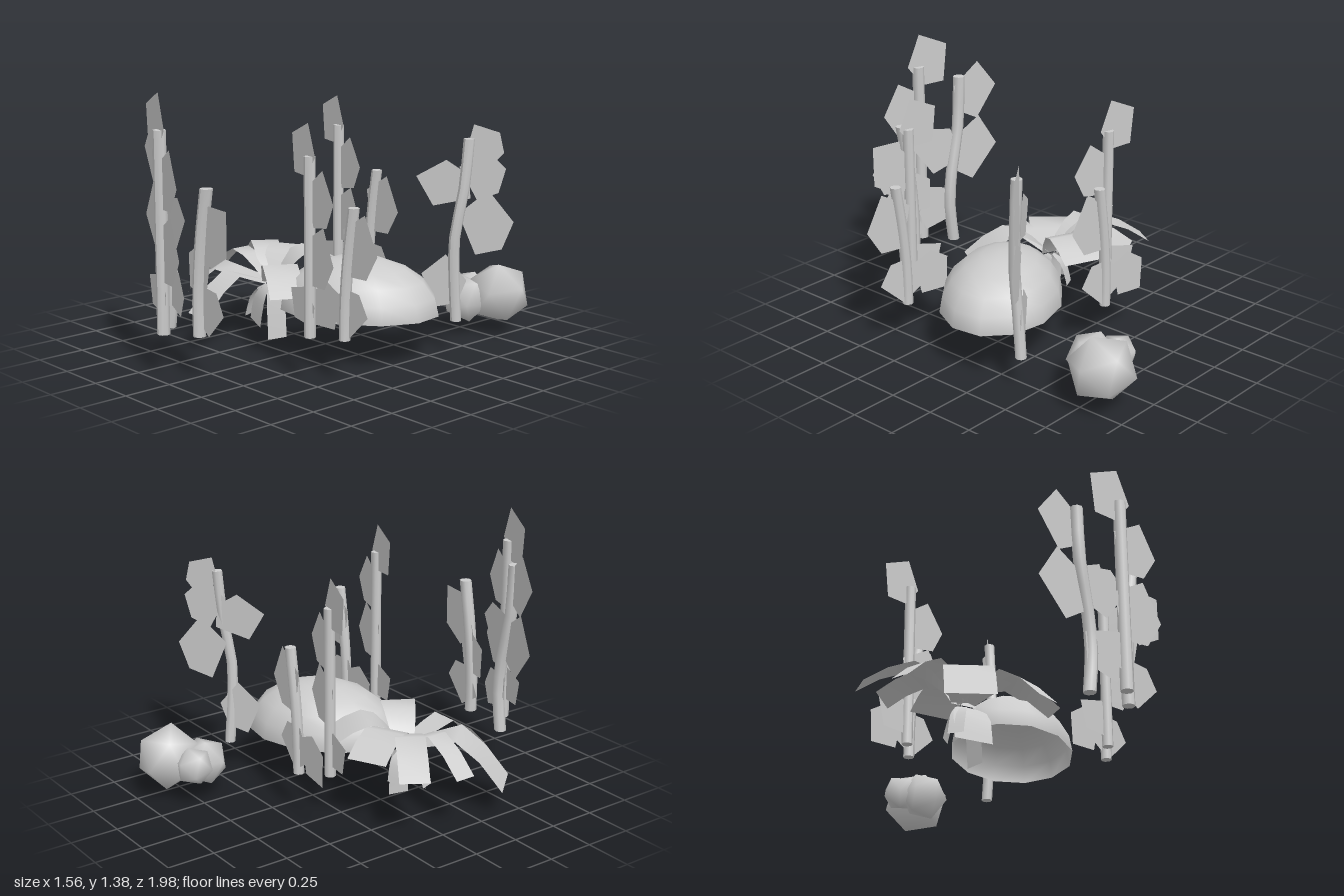
import * as THREE from 'three';
import { mergeVertices } from 'three/addons/utils/BufferGeometryUtils.js';

const mat = new THREE.MeshStandardMaterial({ color: 0xcccccc });
const thin = new THREE.MeshStandardMaterial({ color: 0xcccccc, side: THREE.DoubleSide });

function mesh(name, geometry, material = mat) {
  const m = new THREE.Mesh(geometry, material);
  m.name = name;
  return m;
}

// Irregular five-cornered leaf plate
const leafGeometry = new THREE.ShapeGeometry(new THREE.Shape([
  [-0.105, 0.08], [-0.085, -0.105], [0.03, -0.11], [0.11, -0.01], [0.045, 0.145],
].map(([x, y]) => new THREE.Vector2(x, y))));

// Stalk bent along [x, y, z] points, with leaves [dx, y, scale, turn] in a plane turned by yaw
function makeStalk({ name, x, z, path, r = 0.028, yaw, leaves }) {
  const group = new THREE.Group();
  group.name = name;
  const curve = new THREE.CatmullRomCurve3(path.map(([px, py, pz = 0]) => new THREE.Vector3(px, py, pz)));
  const geo = new THREE.CylinderGeometry(r, r, 1, 8, path.length > 2 ? 8 : 1);
  const pos = geo.attributes.position;
  for (let i = 0; i < pos.count; i++) {
    const p = curve.getPoint(THREE.MathUtils.clamp(pos.getY(i) + 0.5, 0, 1));
    pos.setXYZ(i, pos.getX(i) + p.x, p.y, pos.getZ(i) + p.z);
  }
  geo.computeVertexNormals();
  group.add(mesh('stem', geo));
  const foliage = new THREE.Group();
  foliage.name = 'foliage';
  foliage.rotation.y = yaw;
  for (const [dx, y, s, turn] of leaves) {
    const leaf = mesh('leaf', leafGeometry, thin);
    leaf.position.set(dx, y, 0);
    leaf.rotation.z = turn;
    leaf.scale.setScalar(s);
    foliage.add(leaf);
  }
  group.add(foliage);
  group.position.set(x, 0, z);
  return group;
}

// Broad arching blade: spine points are [distance, height]
function makeBlade(name, angle, width, spine, start) {
  const curve = new THREE.SplineCurve(spine.map(([d, y]) => new THREE.Vector2(d, y)));
  const geo = new THREE.PlaneGeometry(1, 1, 1, 5);
  const pos = geo.attributes.position;
  for (let i = 0; i < pos.count; i++) {
    const t = THREE.MathUtils.clamp(0.5 - pos.getY(i), 0, 1);
    const p = curve.getPoint(t);
    const w = width * (start + (1 - start) * Math.min(1, t * 2));
    pos.setXYZ(i, p.x, p.y, pos.getX(i) * w);
  }
  geo.computeVertexNormals();
  const blade = mesh(name, geo, thin);
  blade.rotation.y = -angle;
  return blade;
}

function makeRock(r, x, y, z, turn) {
  const geo = new THREE.IcosahedronGeometry(r, 0);
  geo.deleteAttribute('normal');
  geo.deleteAttribute('uv');
  const smooth = mergeVertices(geo);
  smooth.computeVertexNormals();
  const rock = mesh('rock', smooth);
  rock.position.set(x, y, z);
  rock.rotation.set(turn, turn * 1.7, 0.3);
  return rock;
}

export function createModel() {
  const model = new THREE.Group();
  model.name = 'garden';

  // Open low dome
  const dome = mesh('dome', new THREE.SphereGeometry(1, 12, 5, 0, Math.PI * 2, 0, Math.PI / 2), thin);
  dome.scale.set(0.42, 0.275, 0.31);
  dome.rotation.y = 0.48;
  dome.position.set(0.235, 0.235, -0.015);
  model.add(dome);

  // Rocks behind the dome
  const rocks = new THREE.Group();
  rocks.name = 'rocks';
  rocks.add(makeRock(0.172, 0.445, 0.215, -0.835, 0.4), makeRock(0.1, 0.27, 0.21, -0.79, 1.1),
    makeRock(0.127, 0.34, 0.19, -0.69, 2.0));
  model.add(rocks);

  // Stalks: straight tall, short bent and tall swaying kinds
  const tall = [[-0.06, 1.1, 1, 0], [0.1, 0.88, 1.05, 0.2], [0.09, 0.6, 1.15, 0.1], [-0.06, 0.36, 0.9, 1.4]];
  const short = [[0.06, 0.66, 1.2, 0.1], [-0.02, 0.36, 1.05, 2.2], [-0.21, 0.35, 1, 2.8]];
  const bent = [[-0.05, 0.21], [-0.045, 0.42], [-0.025, 0.63], [0.01, 0.86]];
  const sway = [[0.02, 0.19], [0.045, 0.4], [0.025, 0.6], [-0.03, 0.85], [-0.045, 1.13]];
  const pairs = [['front', 0.4, 0.46, 0.585, 0.36], ['back', -0.24, -0.31, -0.06, -0.41]];
  for (const [side, x1, z1, x2, z2] of pairs) {
    model.add(makeStalk({ name: side + 'TallStalk', x: x1, z: z1, path: [[0, 0.215], [0, 1.09]], yaw: -0.2, leaves: tall }));
    model.add(makeStalk({ name: side + 'ShortStalk', x: x2, z: z2, path: bent, yaw: -0.11, leaves: short }));
  }
  model.add(makeStalk({
    name: 'foremostStalk', x: -0.14, z: 0.925, r: 0.032, path: [[0, 0.205], [0, 1.2]], yaw: -0.28,
    leaves: [[-0.06, 1.215, 1.12, 0], [0.09, 0.95, 1.15, 0.1], [0.09, 0.61, 1.3, 0.1], [-0.06, 0.4, 0.9, 1.4]],
  }));
  model.add(makeStalk({
    name: 'foremostShortStalk', x: 0.08, z: 0.83, r: 0.032, yaw: -0.15,
    path: [[-0.06, 0.21], [-0.06, 0.42], [-0.035, 0.68], [0.01, 0.94]],
    leaves: [[0.07, 0.71, 1.3, -0.4], [0.02, 0.36, 1.05, 2.2], [-0.07, 0.55, 1, 2.8]],
  }));
  model.add(makeStalk({
    name: 'foremostSwayingStalk', x: -0.28, z: 0.8, r: 0.032, path: sway, yaw: -0.27,
    leaves: [[-0.12, 1.03, 1.15, 0.5], [-0.1, 0.7, 1.3, 0.6], [0.11, 0.75, 1.15, 2.4], [0.12, 0.4, 1, 1.2]],
  }));
  model.add(makeStalk({
    name: 'backSwayingStalk', x: 0.56, z: -0.43, yaw: 0.57,
    path: [[-0.025, 0.16, 0.02], [-0.025, 0.4, 0.04], [-0.015, 0.6, 0.05], [0.015, 0.85, 0.02], [0.025, 1.1, 0]],
    leaves: [[0.11, 1.07, 0.8, 0.9], [0.1, 0.92, 1, 0.4], [0.12, 0.66, 1.2, 0.3],
      [-0.09, 0.87, 1.05, 1.7], [-0.09, 0.35, 1, 0.3]],
  }));

  // Leafy plant: angle, width, reach, crest height, tip height
  const plant = new THREE.Group();
  plant.name = 'leafyPlant';
  plant.position.set(-0.3, 0, 0.11);
  const blades = [
    [3.14, 0.11, 0.48, 0.43, 0.28], [-2.57, 0.15, 0.53, 0.45, 0.32], [-2.02, 0.21, 0.42, 0.45, 0.36],
    [-1.17, 0.22, 0.38, 0.46, 0.38], [0.52, 0.18, 0.46, 0.44, 0.32], [1.57, 0.15, 0.49, 0.38, 0.2],
    [2.42, 0.24, 0.52, 0.37, 0.13],
  ];
  for (const [angle, width, reach, crest, tip] of blades) {
    plant.add(makeBlade('blade', angle, width,
      [[0.02, 0.3], [reach * 0.3, crest - 0.03], [reach * 0.6, crest], [reach, tip]], 0.6));
  }
  // Small hanging leaves under the crown
  const hanging = [[0.2, 0.11, 0.06, 0], [2.0, 0.2, 0.09, 0.08], [2.8, 0.08, 0.14, 0.1], [4.3, 0.08, 0.1, 0.12]];
  for (const [angle, width, reach, tip] of hanging) {
    plant.add(makeBlade('hangingLeaf', angle, width, [[0.01, 0.28], [reach * 0.7, 0.23], [reach, tip]], 0.3));
  }
  model.add(plant);
  return model;
}
